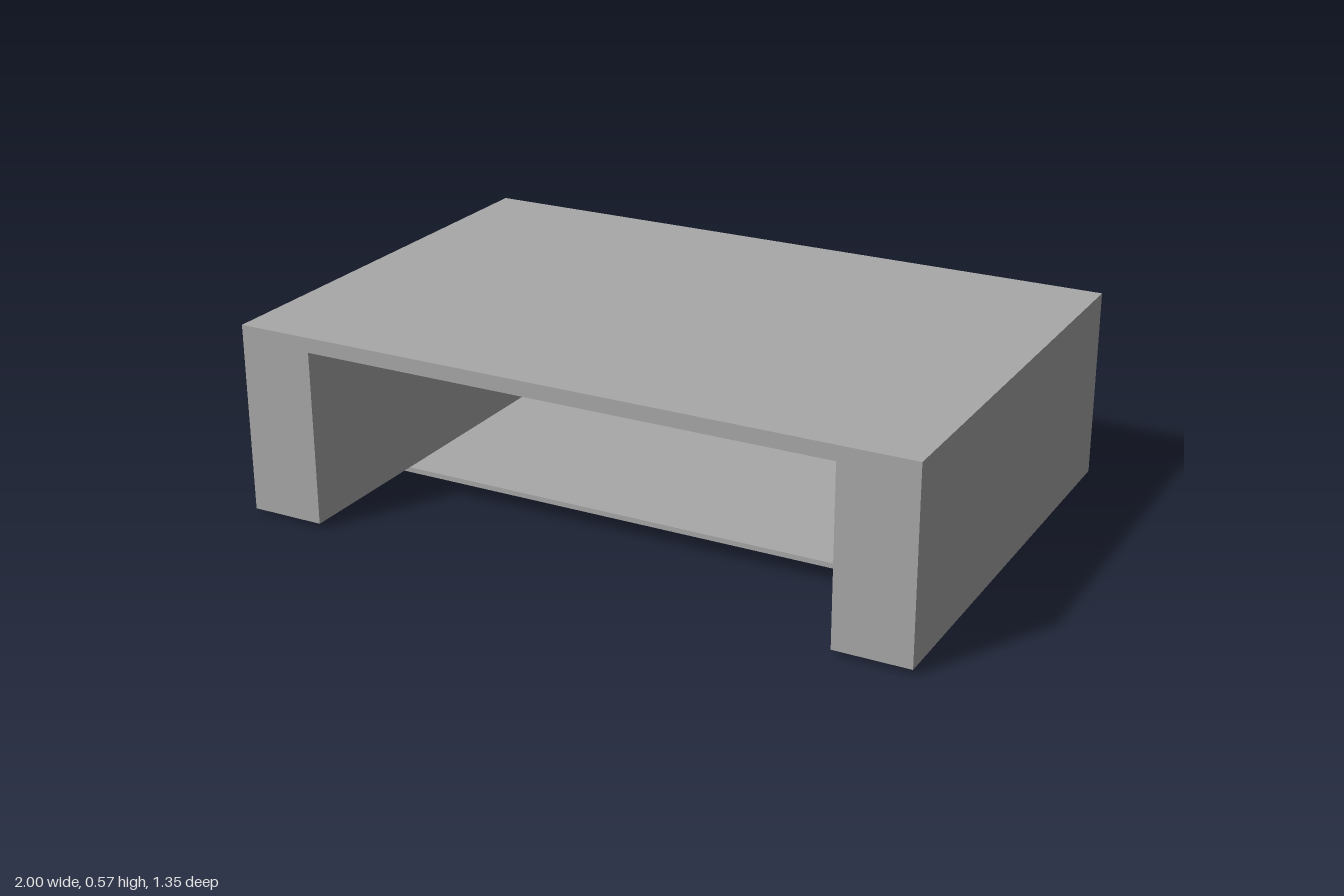
import * as THREE from 'three';

const grey = new THREE.MeshStandardMaterial({ color: 0xa8a8a8 });
grey.name = 'plain grey';

const BASE = 0.015, TOP = 0.568, HALF_W = 1, HALF_D = 0.677;
const BACK = 0.055; // back wall thickness

// Closed outline from a list of [x, y] corners
const outline = (pts) => new THREE.Shape(pts.map(([x, y]) => new THREE.Vector2(x, y)));

// Round-topped window hole
function archHole(x, width, bottom, top) {
  const r = width / 2;
  const hole = new THREE.Path();
  hole.moveTo(x - r, bottom);
  hole.lineTo(x + r, bottom);
  hole.lineTo(x + r, top - r);
  hole.absarc(x, top - r, r, 0, Math.PI, false);
  hole.lineTo(x - r, bottom);
  return hole;
}

// Extrude a front-facing shape between two depths
function slab(name, shape, zBack, zFront) {
  const geo = new THREE.ExtrudeGeometry(shape, {
    depth: zFront - zBack, bevelEnabled: false, curveSegments: 20,
  });
  geo.translate(0, 0, zBack);
  const mesh = new THREE.Mesh(geo, grey);
  mesh.name = name;
  return mesh;
}

export function createModel() {
  const model = new THREE.Group();
  model.name = 'openFrontShelter';

  // Roof and two thick side walls, as one arch-like profile
  const inner = 0.78, ceiling = 0.525;
  const shell = outline([
    [-HALF_W, BASE], [-inner, BASE], [-inner, ceiling], [inner, ceiling],
    [inner, BASE], [HALF_W, BASE], [HALF_W, TOP], [-HALF_W, TOP],
  ]);
  model.add(slab('roofAndSideWalls', shell, -HALF_D + BACK, HALF_D));

  // Back wall with two arched windows
  const back = outline([[-HALF_W, BASE], [HALF_W, BASE], [HALF_W, TOP], [-HALF_W, TOP]]);
  back.holes.push(archHole(-0.193, 0.096, 0.147, 0.362));
  back.holes.push(archHole(0.174, 0.068, 0.147, 0.317));
  model.add(slab('backWall', back, -HALF_D, -HALF_D + BACK));

  // Thin floor plate under the walls
  const zBack = -0.632, zFront = 0.235;
  const floor = new THREE.Mesh(new THREE.BoxGeometry(1.78, BASE, zFront - zBack), grey);
  floor.name = 'floorPlate';
  floor.position.set(0, BASE / 2, (zBack + zFront) / 2);
  model.add(floor);

  return model;
}
